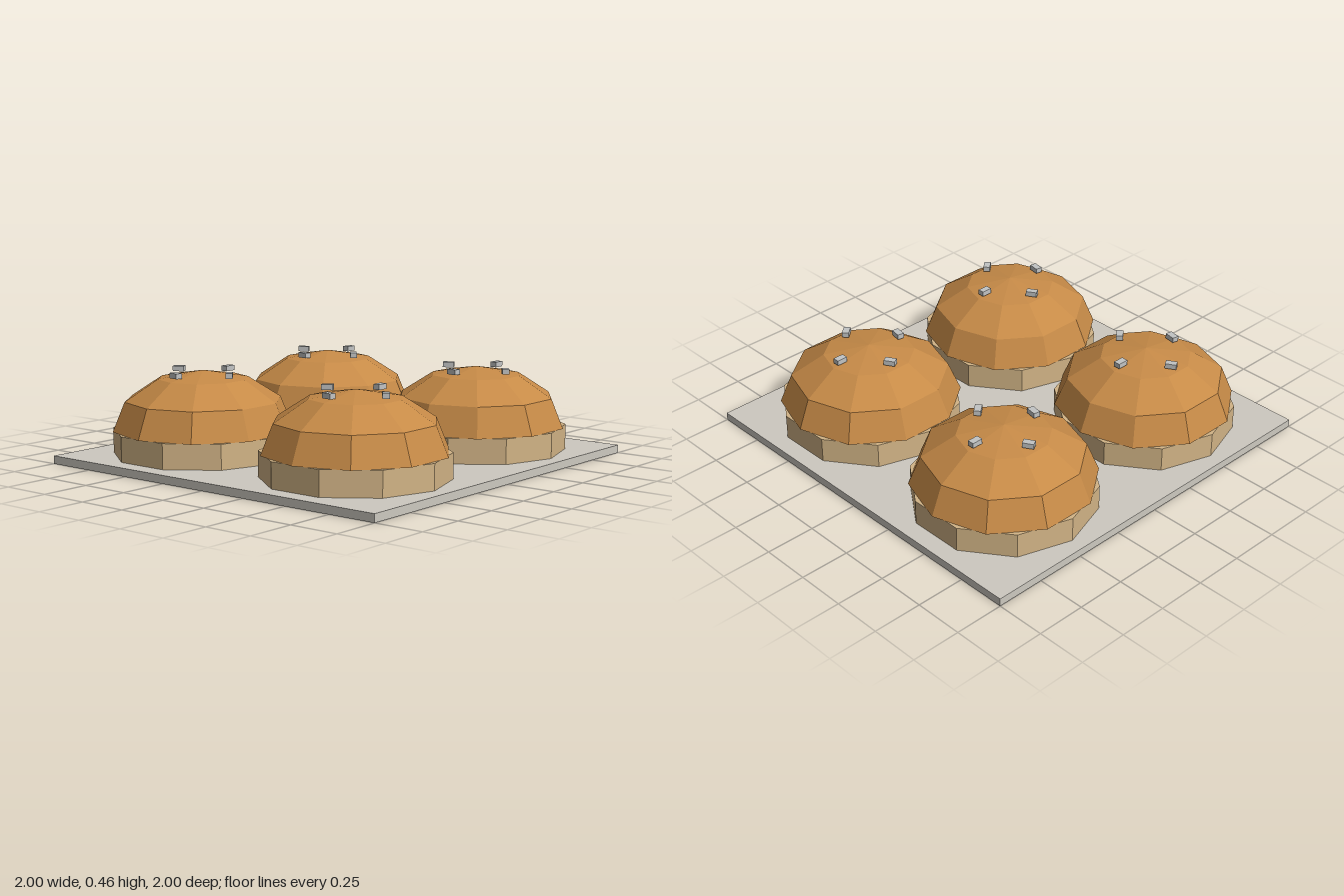
import * as THREE from 'three';

export function createModel() {
  const concrete = new THREE.MeshStandardMaterial({ color: 0xcdc9c0, name: 'concrete' });
  const wall = new THREE.MeshStandardMaterial({ color: 0xd2b486, name: 'tanWall', flatShading: true });
  const roof = new THREE.MeshStandardMaterial({
    color: 0xc68a47, name: 'ochreRoof', flatShading: true, side: THREE.DoubleSide });
  const metal = new THREE.MeshStandardMaterial({ color: 0xc2c4c4, name: 'ventMetal' });

  const SPACING = 0.48, SLAB = 0.04, EAVE = 0.165;

  const add = (parent, name, geometry, material, x, y, z) => {
    const mesh = new THREE.Mesh(geometry, material);
    mesh.name = name;
    mesh.position.set(x, y, z);
    parent.add(mesh);
    return mesh;
  };

  const wallHeight = EAVE - SLAB;
  const wallGeometry = new THREE.CylinderGeometry(0.45, 0.45, wallHeight, 10);
  // Squashed half sphere with three rings of facets
  const domeGeometry = new THREE.SphereGeometry(0.449, 10, 3, 0, Math.PI * 2, 0, Math.PI / 2)
    .scale(1, 0.29 / 0.449, 1);
  const ventGeometry = new THREE.BoxGeometry(0.056, 0.026, 0.034);

  const model = new THREE.Group();
  model.name = 'domeCluster';
  add(model, 'slab', new THREE.BoxGeometry(2, SLAB, 2), concrete, 0, SLAB / 2, 0);

  for (const x of [-SPACING, SPACING]) {
    for (const z of [-SPACING, SPACING]) {
      const house = new THREE.Group();
      house.name = 'domeHouse';
      house.position.set(x, 0, z);
      add(house, 'wall', wallGeometry, wall, 0, SLAB + wallHeight / 2, 0);
      add(house, 'domeRoof', domeGeometry, roof, 0, EAVE, 0);
      // Four vents around the crown, each turned a little further
      for (let i = 0; i < 4; i++) {
        const a = i * 1.6;
        const vent = add(house, 'roofVent', ventGeometry, metal,
          0.18 * Math.cos(a), 0.445, 0.18 * Math.sin(a));
        vent.rotation.y = i * 0.7;
      }
      model.add(house);
    }
  }
  return model;
}
